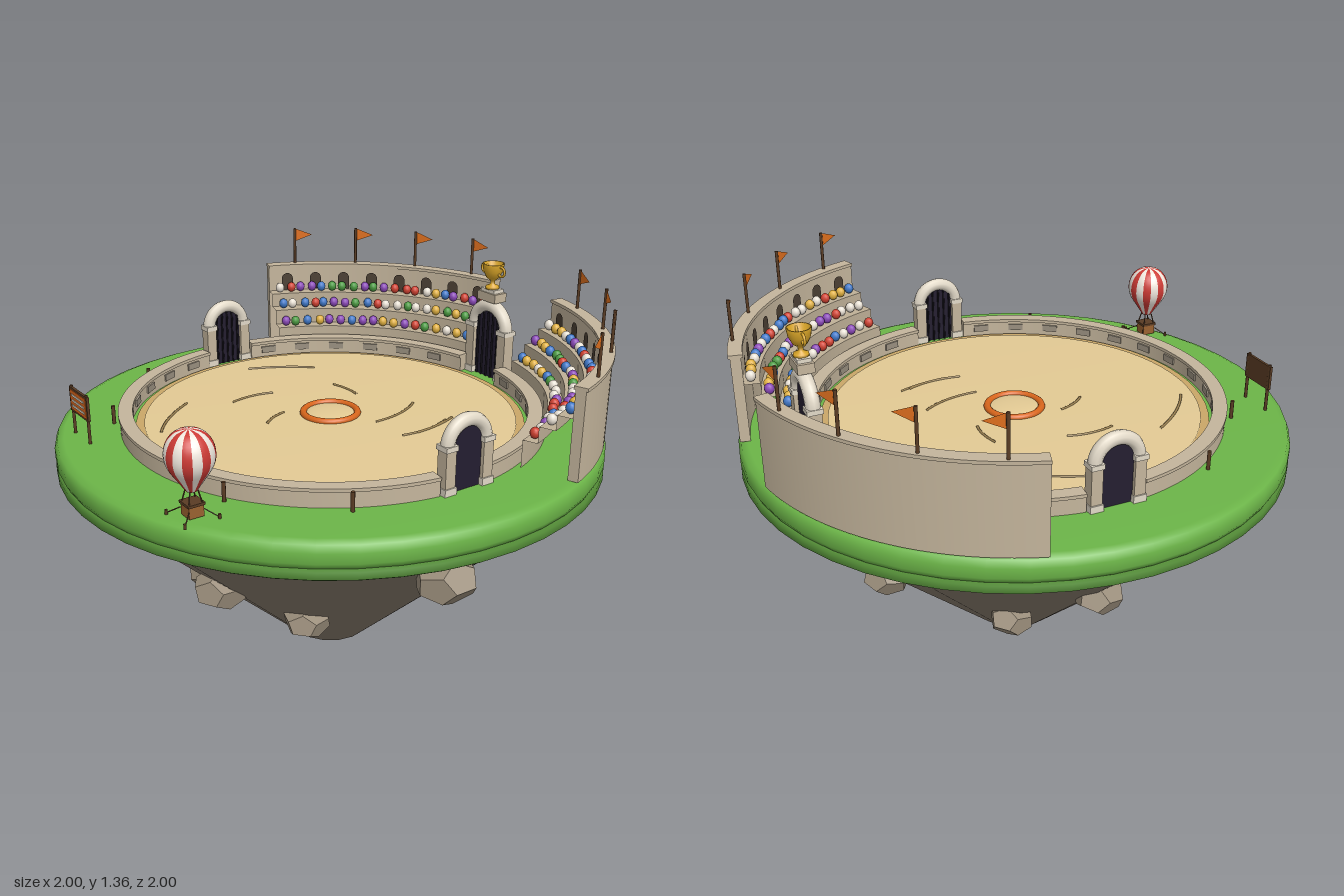
import * as THREE from 'three';
import { toCreasedNormals, mergeGeometries } from 'three/addons/utils/BufferGeometryUtils.js';

const DEG = Math.PI / 180, GROUND = 0.88;
const mat = (color, extra = {}) => new THREE.MeshStandardMaterial({ color, ...extra });
const M = {
  grass: mat(0x6cb548), grassDark: mat(0x558f38), rock: mat(0x857a6c, { flatShading: true }),
  boulder: mat(0x9c8f7c, { flatShading: true }), sand: mat(0xe3ca94), rim: mat(0xcaa768), track: mat(0x9a8050),
  stone: mat(0xc4b59c), step: mat(0xbfb097, { side: THREE.DoubleSide }), pale: mat(0xe2d9c8), panel: mat(0x9a9080),
  dark: mat(0x241e30), bar: mat(0x15121a), arch: mat(0x4c4034, { side: THREE.DoubleSide }), wood: mat(0x5a3c24),
  orange: mat(0xd9661c), flag: mat(0xe0701e, { side: THREE.DoubleSide }), gold: mat(0xd9a528),
  red: mat(0xcc3a34, { side: THREE.DoubleSide }), white: mat(0xf0e8de, { side: THREE.DoubleSide }), basket: mat(0x9a6230),
};
const V2 = (list) => list.map(([x, y]) => new THREE.Vector2(x, y));

function add(parent, name, geo, material, x = 0, y = 0, z = 0) {
  const m = new THREE.Mesh(geo, material);
  m.name = name;
  m.position.set(x, y, z);
  parent.add(m);
  return m;
}
const box = (p, name, w, h, d, m, x, y, z) => add(p, name, new THREE.BoxGeometry(w, h, d), m, x, y, z);
const post = (p, name, r, h, m, x, y, z) => add(p, name, new THREE.CylinderGeometry(r, r, h, 8), m, x, y + h / 2, z);
const lathe = (p, name, pts, m, segs = 48) => add(p, name, new THREE.LatheGeometry(V2(pts), segs), m);

// Group turned about the centre; local +z faces the centre. Angle 0 is the back, positive toward +x.
function spoke(parent, name, deg) {
  const g = new THREE.Group();
  g.name = name;
  g.rotation.y = -deg * DEG;
  parent.add(g);
  return g;
}

// Solid curved wall between two angles
function arcWall(parent, name, r0, r1, y0, y1, d0, d1, m) {
  const a0 = (90 - d1) * DEG, a1 = (90 - d0) * DEG;
  const s = new THREE.Shape();
  s.absarc(0, 0, r1, a0, a1, false);
  s.absarc(0, 0, r0, a1, a0, true);
  const geo = new THREE.ExtrudeGeometry(s, { depth: y1 - y0, bevelEnabled: false, curveSegments: 20 });
  geo.rotateX(-Math.PI / 2);
  return add(parent, name, toCreasedNormals(geo, 0.5), m, 0, y0, 0);
}

function rod(parent, name, a, b, r, m) {
  const path = new THREE.LineCurve3(new THREE.Vector3(...a), new THREE.Vector3(...b));
  return add(parent, name, new THREE.TubeGeometry(path, 1, r, 6), m);
}

function island(root) {
  const g = new THREE.Group();
  g.name = 'island';
  root.add(g);
  add(g, 'rockCone', new THREE.CylinderGeometry(0.96, 0.15, 0.76, 16), M.rock, 0, 0.38, 0);
  lathe(g, 'lowerTurf', [[0, 0.75], [0.99, 0.75], [1, 0.757], [1, 0.782], [0.99, 0.79], [0.9, 0.79]], M.grassDark);
  lathe(g, 'grass', [[0.95, 0.785], [0.99, 0.79], [1, 0.81], [1, 0.845], [0.99, 0.87], [0.965, GROUND], [0, GROUND]], M.grass);
  // Boulders: x, y, z, size
  [[0.85, 0.64, 0.15, 0.11], [-0.62, 0.44, 0.03, 0.09], [-0.45, 0.425, 0.4, 0.095], [-0.15, 0.295, 0.44, 0.09],
    [0.16, 0.42, 0.58, 0.1], [0.31, 0.275, 0.32, 0.088], [0.35, 0.265, -0.27, 0.09], [0.16, 0.54, -0.72, 0.1],
    [-0.17, 0.42, -0.58, 0.09], [-0.4, 0.27, -0.2, 0.085]].forEach(([x, y, z, s], i) => {
    const m = add(g, 'boulder', new THREE.DodecahedronGeometry(s, 0).rotateZ(i * 0.7), M.boulder, x, y, z);
    m.scale.y = 0.72;
    m.rotation.y = i * 1.3;
  });
}

function arena(root) {
  const g = new THREE.Group();
  g.name = 'arena';
  root.add(g);
  lathe(g, 'sandRim', [[0.71, GROUND], [0.71, 0.888], [0, 0.888]], M.rim, 64);
  lathe(g, 'sandFloor', [[0.68, GROUND], [0.68, 0.894], [0, 0.894]], M.sand, 64);
  add(g, 'centreRing', new THREE.TorusGeometry(0.1, 0.013, 10, 40).rotateX(Math.PI / 2), M.orange, 0, 0.897, 0);
  add(g, 'centreMound', new THREE.SphereGeometry(0.095, 32, 12), M.sand, 0, 0.893, 0).scale.y = 0.15;
  // Curved tracks in the sand: start, bulge point, end (x, z)
  [[-0.44, -0.23, -0.53, -0.14, -0.58, 0], [-0.235, -0.18, -0.16, -0.205, -0.095, -0.19],
    [0.1, -0.31, 0.175, -0.21, 0.17, -0.08], [0.295, -0.335, 0.35, -0.2, 0.325, -0.08],
    [0.3, -0.3, 0.335, -0.23, 0.335, -0.14], [-0.295, 0.065, -0.325, 0.15, -0.295, 0.245],
    [-0.1, 0.14, -0.085, 0.21, -0.035, 0.255], [-0.385, 0.39, -0.3, 0.53, -0.18, 0.605]].forEach((t) => {
    const p = [0, 2, 4].map((i) => new THREE.Vector3(t[i], 0.895, t[i + 1]));
    add(g, 'sandTrack', new THREE.TubeGeometry(new THREE.QuadraticBezierCurve3(...p), 12, 0.005, 6), M.track);
  });
  // Low wall in four arcs with inset panels, open at the gates
  [[8, 82], [98, 180], [180, 262], [278, 352]].forEach(([a, b]) => {
    arcWall(g, 'lowWall', 0.725, 0.765, GROUND, 0.938, a, b, M.stone);
    arcWall(g, 'wallCoping', 0.718, 0.77, 0.936, 0.948, a, b, M.stone);
    for (let d = a + 6; d < b - 3; d += 11.5)
      box(spoke(g, 'wallPanel', d), 'panel', 0.06, 0.026, 0.008, M.panel, 0, 0.913, -0.722);
  });
  for (const d of [120, 150, 210, 240]) post(spoke(g, 'markerPost', d), 'post', 0.007, 0.068, M.wood, 0, GROUND, -0.79);
}

// Arched gate: half span of the arch, spring height, arch thickness
function gate(root, name, deg, dist, span, spring, tube) {
  const g = new THREE.Group();
  g.name = name;
  g.position.z = -dist;
  spoke(root, name + 'Place', deg).add(g);
  const h = spring - GROUND;
  for (const s of [-1, 1]) {
    box(g, 'pillar', tube * 1.7, h, tube * 1.8, M.stone, s * span, GROUND + h / 2, 0);
    box(g, 'pillarBase', tube * 2, 0.025, tube * 2.2, M.pale, s * span, GROUND + 0.0125, 0);
    box(g, 'pillarCap', tube * 2, 0.018, tube * 2.2, M.pale, s * span, spring, 0);
  }
  add(g, 'arch', new THREE.TorusGeometry(span, tube, 10, 24, Math.PI), M.pale, 0, spring, 0);
  const s = new THREE.Shape(V2([[-span, GROUND], [span, GROUND], [span, spring]]));
  s.absarc(0, spring, span, 0, Math.PI, false);
  add(g, 'doorway', new THREE.ExtrudeGeometry(s, { depth: 0.016, bevelEnabled: false }), M.dark, 0, 0, -0.008);
  for (let i = -2; i <= 2; i++) {
    const x = i * span * 0.3;
    post(g, 'gateBar', 0.004, h + Math.sqrt(span * span - x * x) - tube, M.bar, x, GROUND, 0.011);
  }
  return g;
}

function trophy(parent) {
  const g = new THREE.Group();
  g.name = 'trophy';
  parent.add(g);
  box(g, 'plinth', 0.1, 0.035, 0.06, M.stone, 0, 1.21, 0);
  box(g, 'plinthTop', 0.075, 0.015, 0.05, M.pale, 0, 1.234, 0);
  lathe(g, 'cup', [[0, 1.24], [0.028, 1.24], [0.026, 1.25], [0.009, 1.258], [0.009, 1.272], [0.026, 1.285],
    [0.038, 1.31], [0.043, 1.34], [0.037, 1.34], [0.025, 1.3], [0, 1.29]], M.gold, 24);
  for (const s of [-1, 1])
    add(g, 'handle', new THREE.TorusGeometry(0.018, 0.005, 8, 16), M.gold, s * 0.046, 1.314, 0);
}

function stands(root) {
  let seed = 7;
  const rnd = () => (seed = (seed * 16807) % 2147483647) / 2147483647;
  const crowdMats = [0xd04030, 0x3f78c8, 0x4a9a40, 0xe0b040, 0xe8e0d4, 0x8a48b8].map((c) => mat(c));
  const ball = new THREE.SphereGeometry(0.0185, 10, 8);
  const steps = V2([[0.955, 1.095], [0.9, 1.095], [0.9, 1.04], [0.84, 1.04], [0.84, 0.98], [0.785, 0.98], [0.785, GROUND]]);
  const win = new THREE.Shape(V2([[-0.024, 1.1], [0.024, 1.1], [0.024, 1.148]]));
  win.absarc(0, 1.148, 0.024, 0, Math.PI, false);
  const pennant = new THREE.Shape(V2([[0, 1.3], [0.075, 1.327], [0, 1.355]]));
  for (const side of [-1, 1]) {
    const g = new THREE.Group();
    g.name = side > 0 ? 'leftStand' : 'rightStand';
    root.add(g);
    const [d0, d1] = side > 0 ? [10, 71] : [-71, -10];
    arcWall(g, 'backWall', 0.955, 0.992, GROUND, 1.195, d0, d1, M.stone);
    arcWall(g, 'wallCap', 0.948, 0.998, 1.195, 1.207, d0, d1, M.stone);
    const tiers = new THREE.LatheGeometry(steps, 28, Math.PI - d1 * DEG, (d1 - d0) * DEG);
    add(g, 'tiers', toCreasedNormals(tiers, 0.5), M.step);
    for (let i = 0; i < 8; i++)
      add(spoke(g, 'wallArch', side * (14.5 + i * 7.4)), 'archOpening', new THREE.ShapeGeometry(win), M.arch, 0, 0, -0.945);
    for (let i = 0; i < 4; i++) {
      const f = spoke(g, 'flagPlace', side * (18 + i * 15.3));
      post(f, 'flagPole', 0.006, 0.155, M.wood, 0, 1.2, -0.983);
      add(f, 'pennant', new THREE.ShapeGeometry(pennant), M.flag, 0, 0, -0.983);
    }
    // Crowd in three rows
    [[0.812, 1, 18], [0.868, 1.06, 20], [0.925, 1.115, 21]].forEach(([r, y, n]) => {
      for (let i = 0; i < n; i++) {
        const a = side * (12 + (56.5 * (i + (rnd() - 0.5) * 0.3)) / (n - 1)) * DEG, rr = r + (rnd() - 0.5) * 0.012;
        add(g, 'spectator', ball, crowdMats[Math.floor(rnd() * 6)], rr * Math.sin(a), y, -rr * Math.cos(a)).scale.y = 1.1;
      }
    });
  }
}

function balloon(root) {
  const g = new THREE.Group();
  g.name = 'balloon';
  g.position.set(0.43, 0, 0.815);
  root.add(g);
  const prof = new THREE.SplineCurve(V2([[0.018, 0.968], [0.045, 1.008], [0.072, 1.05], [0.08, 1.09], [0.07, 1.13], [0.042, 1.16], [0, 1.17]])).getPoints(20);
  prof[20].x = 0;
  const gores = [[], []];
  for (let i = 0; i < 16; i++) gores[i % 2].push(new THREE.LatheGeometry(prof, 2, (i * Math.PI) / 8, Math.PI / 8));
  add(g, 'redStripes', mergeGeometries(gores[0]), M.red);
  add(g, 'whiteStripes', mergeGeometries(gores[1]), M.white);
  box(g, 'basket', 0.052, 0.042, 0.052, M.basket, 0, 0.906, 0);
  box(g, 'basketRim', 0.06, 0.009, 0.06, M.wood, 0, 0.928, 0);
  for (const x of [-1, 1]) for (const z of [-1, 1]) {
    rod(g, 'rope', [x * 0.024, 0.925, z * 0.024], [x * 0.014, 0.972, z * 0.014], 0.0025, M.wood);
    rod(g, 'tether', [x * 0.026, 0.91, z * 0.026], [x * 0.06, 0.885, z * 0.06], 0.002, M.wood);
    post(g, 'peg', 0.005, 0.018, M.wood, x * 0.06, GROUND - 0.002, z * 0.06);
  }
}

function signboard(root) {
  const g = new THREE.Group();
  g.name = 'signboard';
  g.position.set(-0.333, 0, 0.835);
  root.add(g);
  for (const s of [-1, 1]) post(g, 'signPost', 0.006, 0.18, M.wood, s * 0.062, GROUND, 0);
  box(g, 'signFrame', 0.145, 0.09, 0.01, M.wood, 0, 1.01, 0);
  box(g, 'signFace', 0.128, 0.074, 0.006, M.orange, 0, 1.01, 0.004);
  for (const y of [1.03, 1.01, 0.99]) box(g, 'signStripe', 0.1, 0.008, 0.004, M.pale, 0, y, 0.007);
}

export function createModel() {
  const root = new THREE.Group();
  root.name = 'floatingArena';
  island(root);
  arena(root);
  stands(root);
  trophy(gate(root, 'backGate', 0, 0.775, 0.09, 1.08, 0.026));
  gate(root, 'leftGate', 90, 0.75, 0.078, 1.04, 0.024);
  gate(root, 'rightGate', -90, 0.75, 0.078, 1.04, 0.024);
  balloon(root);
  signboard(root);
  return root;
}
